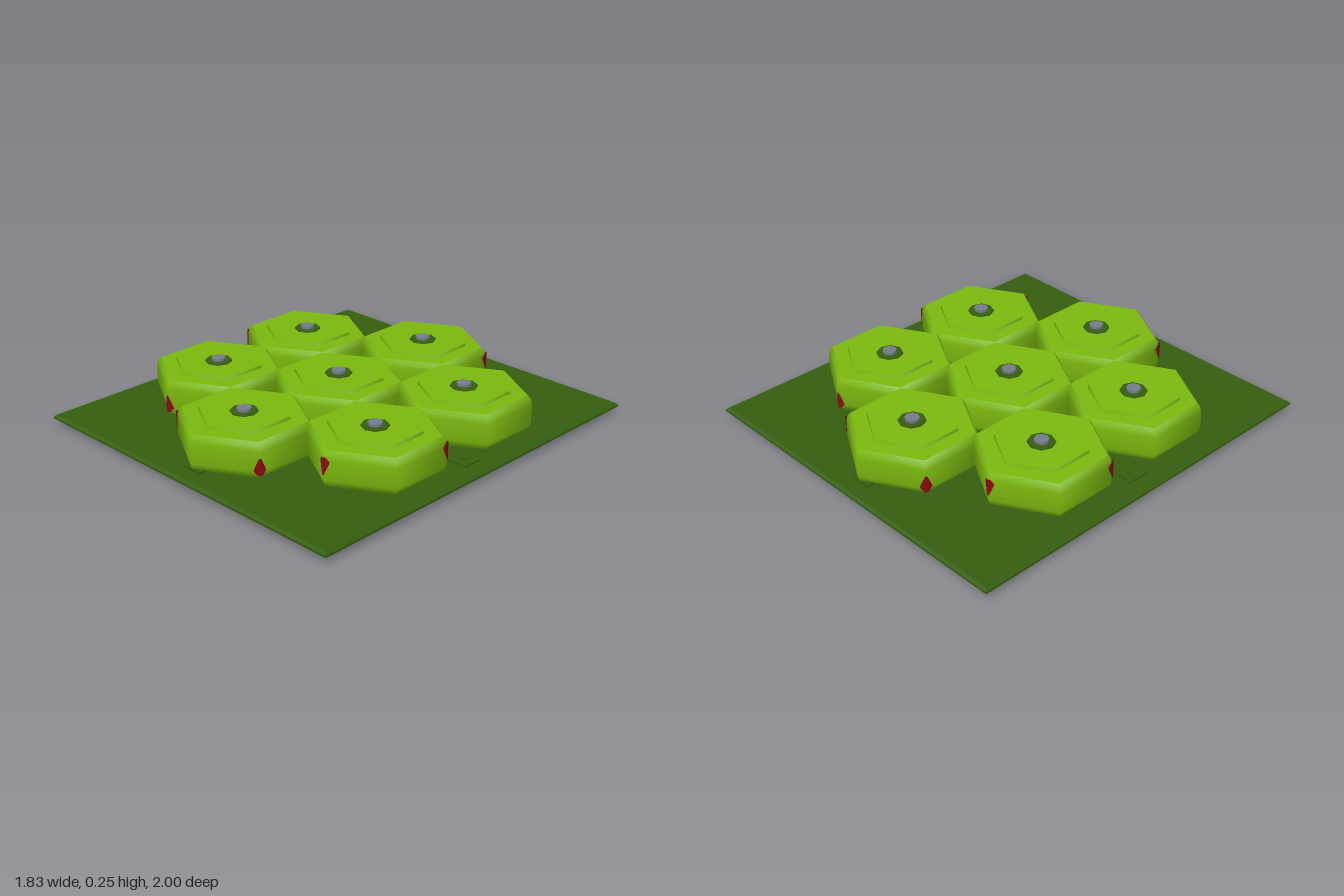
import * as THREE from 'three';

const material = (name, color, side = THREE.FrontSide) => {
  const m = new THREE.MeshStandardMaterial({ color, side });
  m.name = name;
  return m;
};

export function createModel() {
  const model = new THREE.Group();
  model.name = 'hexagonCluster';
  const darkGreen = material('darkGreen', 0x345d0e);
  const lime = material('limeGreen', 0x7ab80e);
  const steel = material('steelGrey', 0x737b8a);
  const red = material('darkRed', 0x8a0a10, THREE.DoubleSide);

  const add = (parent, name, geometry, mat, x = 0, y = 0, z = 0) => {
    const mesh = new THREE.Mesh(geometry, mat);
    mesh.name = name;
    mesh.position.set(x, y, z);
    parent.add(mesh);
    return mesh;
  };

  // Base plate with chamfered rim
  const c = 0.012, w = 0.915 - c, d = 1 - c;
  const outline = new THREE.Shape([[-w, -d], [w, -d], [w, d], [-w, d]].map(([x, y]) => new THREE.Vector2(x, y)));
  const plate = new THREE.ExtrudeGeometry(outline, {
    depth: 0.01, bevelEnabled: true, bevelThickness: 0.01, bevelSize: c, bevelSegments: 1,
  }).rotateX(-Math.PI / 2);
  add(model, 'basePlate', plate, darkGreen, 0, 0.03, 0);

  // Feet below the plate and the matching pads and studs above it
  for (const [x, z] of [[0.78, 0], [-0.78, 0], [0, 0.86], [0, -0.86]]) {
    add(model, 'foot', new THREE.BoxGeometry(0.108, 0.024, 0.108), darkGreen, x, 0.012, z);
    add(model, 'pad', new THREE.BoxGeometry(0.105, 0.01, 0.105), darkGreen, x, 0.053, z);
    add(model, 'padStud', new THREE.CylinderGeometry(0.015, 0.015, 0.006, 12), darkGreen, x, 0.06, z);
  }

  // Hexagonal cells, with a corner pointing to +z
  const profile = [[0.295, 0.048], [0.312, 0.062], [0.32, 0.085], [0.321, 0.13], [0.32, 0.18], [0.313, 0.205], [0.298, 0.222]]
    .map(([r, y]) => new THREE.Vector2(r, y));
  const sides = new THREE.LatheGeometry(profile, 6);
  const top = new THREE.CylinderGeometry(0.298, 0.298, 0.004, 6);
  const raised = new THREE.CylinderGeometry(0.215, 0.22, 0.014, 6);
  const nut = new THREE.CylinderGeometry(0.064, 0.066, 0.012, 8);
  const bolt = new THREE.CylinderGeometry(0.035, 0.035, 0.024, 8);

  const centres = [[0, 0]];
  for (let i = 0; i < 6; i++) {
    const a = i * Math.PI / 3;
    centres.push([0.6 * Math.sin(a), 0.6 * Math.cos(a)]);
  }
  for (const [x, z] of centres) {
    const cell = new THREE.Group();
    cell.name = 'hexCell';
    cell.position.set(x, 0, z);
    add(cell, 'cellBody', sides, lime);
    add(cell, 'cellTop', top, lime, 0, 0.22, 0);
    add(cell, 'raisedPanel', raised, lime, 0, 0.228, 0);
    add(cell, 'nut', nut, darkGreen, 0, 0.236, 0);
    add(cell, 'bolt', bolt, steel, 0, 0.243, 0);
    model.add(cell);
  }

  // Red teardrops folded around cell corners: wide end low, or high when flipped
  const halfWidths = [0.004, 0.013, 0.021, 0.028, 0.012];
  const drop = (flip) => {
    const g = new THREE.PlaneGeometry(2, 0.085, 2, 4);
    const p = g.attributes.position;
    for (let i = 0; i < p.count; i++) {
      const row = Math.floor(i / 3);
      const x = p.getX(i) * halfWidths[flip ? 4 - row : row];
      p.setX(i, x);
      p.setZ(i, 0.325 - Math.abs(x) * Math.tan(Math.PI / 6));
    }
    g.computeVertexNormals();
    return g;
  };
  const upDrop = drop(false), downDrop = drop(true);
  // Cell index, corner index (both in 60 degree steps from +z), flipped
  const marks = [[0, 1, false], [0, 5, true], [1, 0, true], [1, 2, true], [5, 0, false]];
  for (const half of [0, 3]) {
    for (const [cell, corner, flip] of marks) {
      const [x, z] = centres[1 + (cell + half) % 6];
      const mark = add(model, 'redMark', flip ? downDrop : upDrop, red, x, flip ? 0.155 : 0.112, z);
      mark.rotation.y = (corner + half) * Math.PI / 3;
    }
  }
  return model;
}
